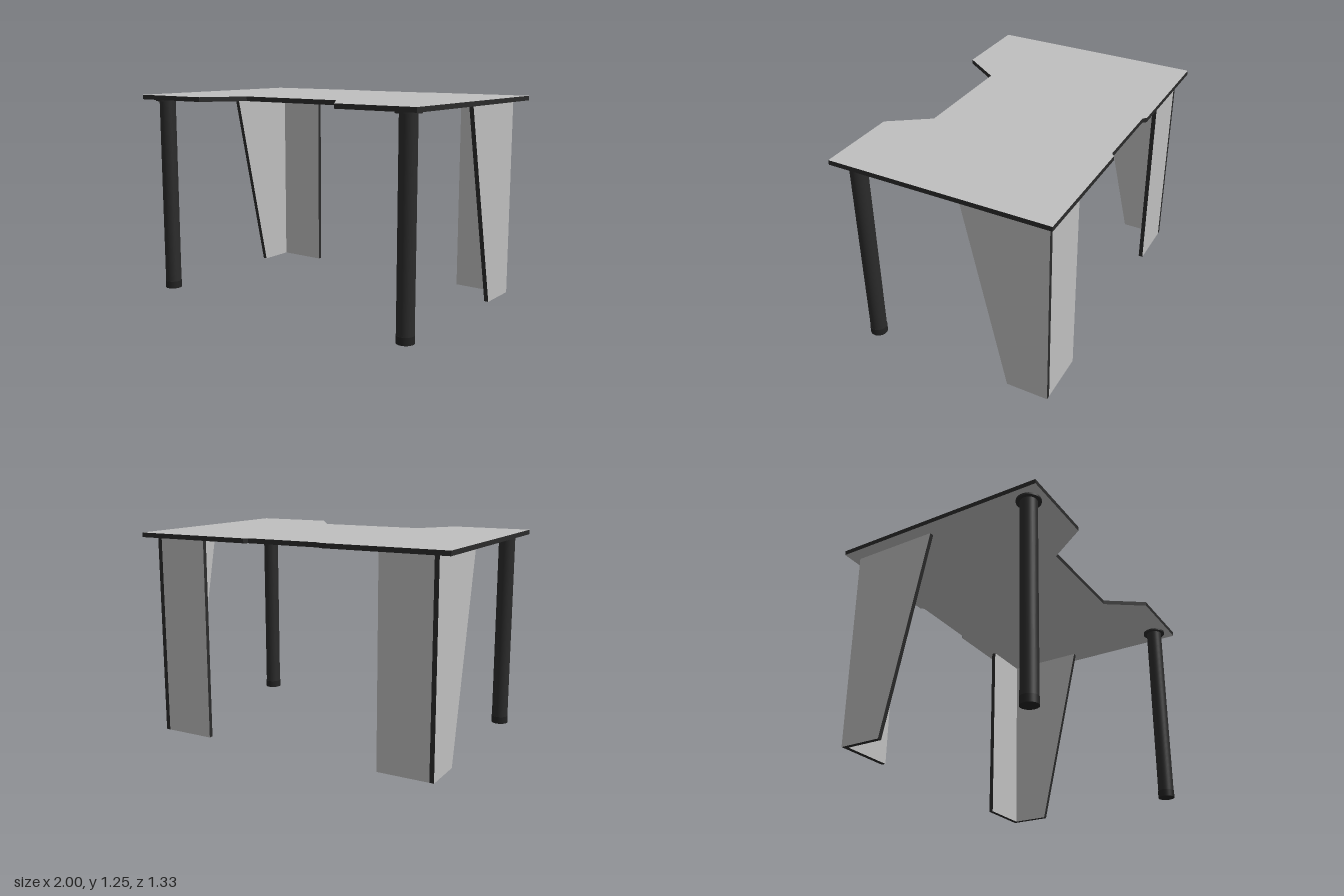
import * as THREE from 'three';

const grey = new THREE.MeshStandardMaterial({ color: 0xbfbfbf });
grey.name = 'grey board';
const black = new THREE.MeshStandardMaterial({ color: 0x2b2b2b });
black.name = 'black edging and legs';
const footBlack = new THREE.MeshStandardMaterial({ color: 0x222222 });
footBlack.name = 'foot black';

const TOP = 1.253, UNDER = 1.225, PANEL = 0.027;
const BACK = -0.617, OUTER = 0.92;

// Flat board with grey faces and black edge banding, extruded along +z
function board(name, points, thickness) {
  const shape = new THREE.Shape(points.map(([x, y]) => new THREE.Vector2(x, y)));
  const geometry = new THREE.ExtrudeGeometry(shape, { depth: thickness, bevelEnabled: false });
  const mesh = new THREE.Mesh(geometry, [grey, black]);
  mesh.name = name;
  return mesh;
}

function cylinder(name, radius, y0, y1, material) {
  const mesh = new THREE.Mesh(new THREE.CylinderGeometry(radius, radius, y1 - y0, 40), material);
  mesh.position.y = (y0 + y1) / 2;
  mesh.name = name;
  return mesh;
}

export function createModel() {
  const desk = new THREE.Group();
  desk.name = 'desk';

  // Desktop with a front cut-out and a shallow rear cable notch, as (x, z)
  const half = [[0.23, -0.647], [0.25, -0.667], [1, -0.667], [1, 0.667], [0.5, 0.667], [0.335, 0.43]];
  const outline = [...half, ...half.map(([x, z]) => [-x, z]).reverse()];
  const desktop = board('desktop', outline, TOP - UNDER);
  desktop.rotation.x = Math.PI / 2;
  desktop.position.y = TOP;
  desk.add(desktop);

  for (const side of [-1, 1]) {
    const label = side > 0 ? 'left' : 'right';

    // Round front leg with mounting flange and foot
    const leg = new THREE.Group();
    leg.name = label + 'FrontLeg';
    leg.position.set(side * 0.89, 0, 0.562);
    leg.add(
      cylinder('legTube', 0.05, 0.02, UNDER - 0.005, black),
      cylinder('legFlange', 0.072, UNDER - 0.011, UNDER, black),
      cylinder('legFoot', 0.052, 0, 0.045, footBlack)
    );
    desk.add(leg);

    // Tapered side panel, drawn as (-z, y) and turned to face sideways
    const sidePanel = board(label + 'SidePanel',
      [[0.36, 0], [-BACK, 0], [-BACK, UNDER], [0.085, UNDER]], PANEL);
    sidePanel.rotation.y = Math.PI / 2;
    sidePanel.position.x = side > 0 ? OUTER - PANEL : -OUTER;
    desk.add(sidePanel);

    // Upright back panel butting against the side panel
    const x0 = Math.min(side * 0.577, side * (OUTER - PANEL));
    const x1 = Math.max(side * 0.577, side * (OUTER - PANEL));
    const backPanel = board(label + 'BackPanel',
      [[x0, 0], [x1, 0], [x1, UNDER], [x0, UNDER]], PANEL);
    backPanel.position.z = BACK;
    desk.add(backPanel);
  }
  return desk;
}
